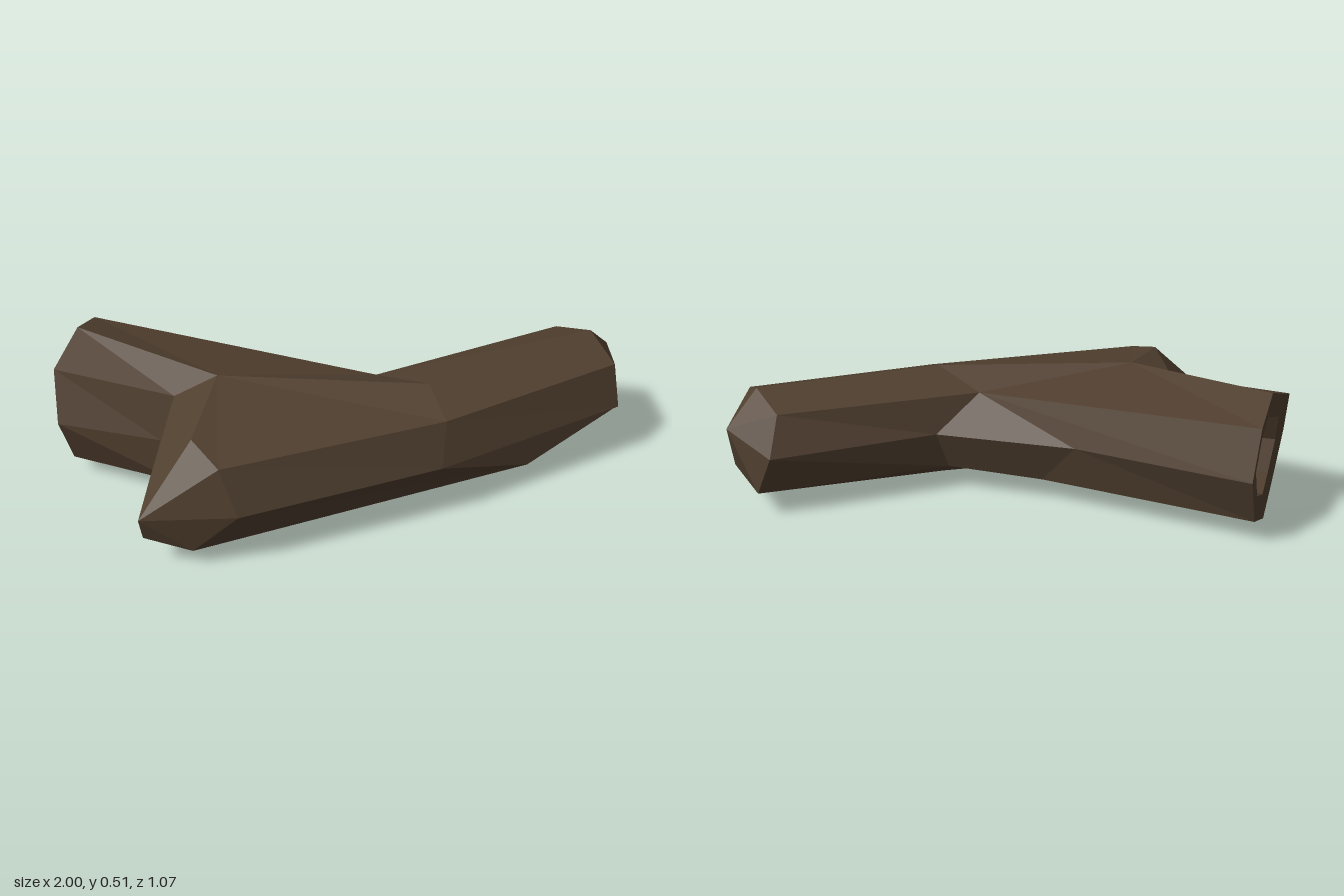
import * as THREE from 'three';

// Faceted forked log: a trunk and a side branch with a hollow end.
export function createModel() {
  const bark = new THREE.MeshStandardMaterial({ color: 0x503f2f, flatShading: true, side: THREE.DoubleSide });
  bark.name = 'bark';

  // Flat faces from a list of polygons
  const facetMesh = (name, polygons) => {
    const pos = [];
    for (const p of polygons) {
      for (let i = 1; i < p.length - 1; i++) pos.push(...p[0], ...p[i], ...p[i + 1]);
    }
    const g = new THREE.BufferGeometry();
    g.setAttribute('position', new THREE.Float32BufferAttribute(pos, 3));
    g.computeVertexNormals();
    const m = new THREE.Mesh(g, bark);
    m.name = name;
    return m;
  };
  // Side faces between two rings
  const loft = (a, b, skip = []) => a
    .map((p, i) => {
      const j = (i + 1) % a.length;
      return [p, a[j], b[j], b[i]];
    })
    .filter((_, i) => !skip.includes(i));

  // Trunk rings, from the top round over the front
  const left = [[-0.48, 0.48, 0.09], [-0.6, 0.38, 0.47], [-0.56, 0.215, 0.53], [-0.7, 0.065, 0.46],
    [-0.64, 0, 0.33], [-0.65, 0.08, 0.1], [-0.69, 0.25, 0.07], [-0.63, 0.42, 0.07]];
  const mid = [[0.2, 0.43, 0.33], [0.2, 0.37, 0.48], [0.17, 0.215, 0.53], [0.55, 0.065, 0.44],
    [0.2, 0.02, 0.26], [0.2, 0.1, 0.14], [0.25, 0.25, 0.11], [0.08, 0.385, 0.15]];
  const right = [[0.88, 0.44, 0.24], [0.9, 0.38, 0.39], [0.91, 0.22, 0.43], [0.98, 0.11, 0.3],
    [0.82, 0.025, 0.22], [0.91, 0.1, 0.07], [0.86, 0.25, 0.03], [0.82, 0.39, 0.1]];

  // Broken ends of the trunk
  const l = left, r = right;
  const tip = [1, 0.32, 0.17];
  const rightEnd = [[tip, r[0], r[1], r[2], r[3]], [tip, r[3], r[5], r[6]], [tip, r[6], r[7]],
    [tip, r[7], r[0]], [r[3], r[4], r[5]]];
  const knob = [-0.65, 0.425, 0.34], point = [-0.865, 0.21, 0.42], chin = [-0.85, 0.12, 0.4];
  const leftEnd = [[knob, l[1], l[0]], [knob, point, l[1]], [knob, l[7], point], [knob, l[0], l[7]],
    [point, l[2], l[1]], [point, l[3], l[2]], [point, chin, l[3]], [chin, l[4], l[3]],
    [chin, l[5], l[4]], [point, l[6], l[5], chin], [point, l[7], l[6]]];

  // Branch rings: root on the trunk, then the outer end
  const root = [l[0], mid[7], [-0.21, 0.26, -0.13], [-0.12, 0.09, -0.02],
    [-0.3, 0.02, 0.25], l[5], l[6], l[7]];
  const end = [[-0.86, 0.51, -0.34], [-0.77, 0.45, -0.485], [-0.73, 0.27, -0.535], [-0.77, 0.09, -0.485],
    [-0.86, 0.02, -0.35], [-0.95, 0.07, -0.19], [-1, 0.26, -0.14], [-0.98, 0.44, -0.21]];
  const centre = [-0.865, 0.265, -0.34];
  const inset = (k, depth) => end.map((p) => p.map((v, i) =>
    centre[i] + (v - centre[i]) * k + [0.82, 0, 0.57][i] * depth));
  const rim = inset(0.62, 0.01), floor = inset(0.5, 0.17);

  const trunk = facetMesh('trunk', [
    ...loft(left, mid, [5, 6, 7]), [l[0], mid[0], mid[7]],
    ...loft(mid, right), ...rightEnd, ...leftEnd,
  ]);
  const branch = facetMesh('branch', [
    ...loft(root, end),
    // crotch between branch and trunk
    [root[2], mid[7], mid[6]], [root[3], root[2], mid[6], mid[5]], [root[4], root[3], mid[5], mid[4]],
  ]);
  const hollow = facetMesh('hollowEnd', [...loft(end, rim), ...loft(rim, floor), floor]);

  const group = new THREE.Group();
  group.name = 'forkedLog';
  group.add(trunk, branch, hollow);
  return group;
}
